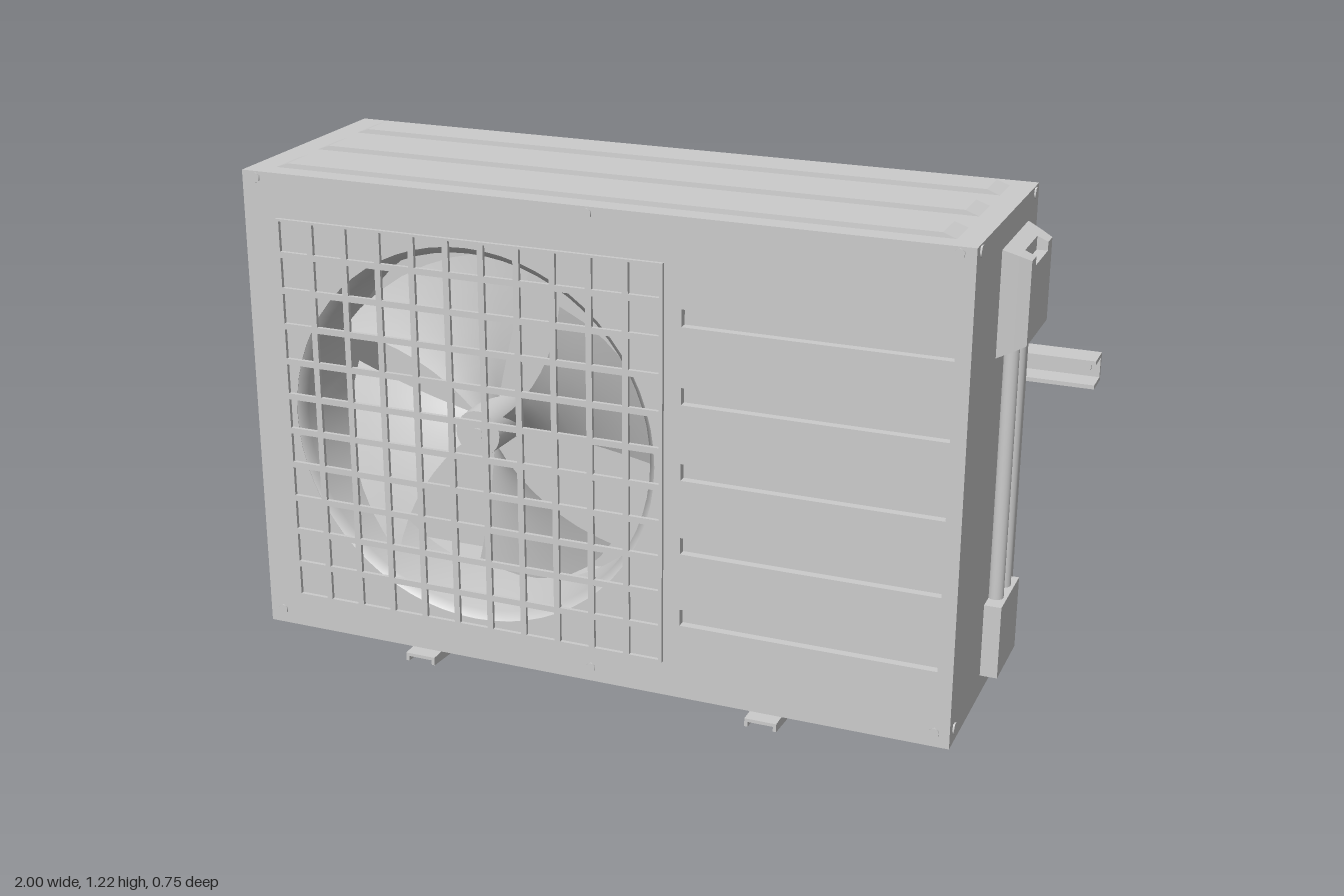
import * as THREE from 'three';

const grey = new THREE.MeshStandardMaterial({ color: 0xcccccc, side: THREE.DoubleSide });

export function createModel() {
  const model = new THREE.Group();
  const X0 = -0.86, X1 = 0.855, Y0 = 0.075, Y1 = 1.215, Z0 = -0.23, Z1 = 0.34;
  const T = 0.02, FX = -0.297, FY = 0.635;

  function add(name, geometry, parent = model) {
    const mesh = new THREE.Mesh(geometry, grey);
    mesh.name = name;
    parent.add(mesh);
    return mesh;
  }
  // Box given by its limits
  function box(name, x0, x1, y0, y1, z0, z1, parent) {
    const g = new THREE.BoxGeometry(x1 - x0, y1 - y0, z1 - z0);
    g.translate((x0 + x1) / 2, (y0 + y1) / 2, (z0 + z1) / 2);
    return add(name, g, parent);
  }
  function rect(x0, x1, y0, y1, Type = THREE.Path) {
    const p = new Type();
    p.moveTo(x0, y0).lineTo(x1, y0).lineTo(x1, y1).lineTo(x0, y1).closePath();
    return p;
  }
  function plate(outline, holes, depth) {
    outline.holes.push(...holes);
    return new THREE.ExtrudeGeometry(outline, { depth, bevelEnabled: false, curveSegments: 32 });
  }
  // Flat-sided solid through rings of [x, y] points at given depths, capped on the last ring
  function loft(rings) {
    const pos = [];
    const tri = (...p) => p.forEach(v => pos.push(...v));
    const pts = rings.map(r => r.points.map(([x, y]) => [x, y, r.depth]));
    for (let k = 0; k + 1 < pts.length; k++) {
      const a = pts[k], b = pts[k + 1];
      a.forEach((p, i) => {
        const j = (i + 1) % a.length;
        tri(p, a[j], b[j]);
        tri(p, b[j], b[i]);
      });
    }
    const last = pts[pts.length - 1];
    const contour = last.map(p => new THREE.Vector2(p[0], p[1]));
    THREE.ShapeUtils.triangulateShape(contour, []).forEach(f => tri(...f.map(i => last[i])));
    const g = new THREE.BufferGeometry();
    g.setAttribute('position', new THREE.Float32BufferAttribute(pos, 3));
    g.computeVertexNormals();
    return g;
  }
  // Hexagonal screw or bolt along an axis
  function screw(name, x, y, z, axis, r = 0.014, len = 0.008) {
    const g = new THREE.CylinderGeometry(r, r, len, 6);
    if (axis === 'x') g.rotateZ(Math.PI / 2);
    else g.rotateX(Math.PI / 2);
    add(name, g).position.set(x, y, z);
  }

  // Casing walls
  box('backWall', X0, X1, Y0, Y1, Z0, Z0 + T);
  box('rightWall', X1 - T, X1, Y0, Y1, Z0 + T, Z1 - T);
  box('topWall', X0 + T, X1 - T, Y1 - T, Y1, Z0 + T, Z1 - T);
  box('bottomWall', X0 + T, X1 - T, Y0, Y0 + T, Z0 + T, Z1 - T);

  // Front wall with a round fan opening and five slots
  const opening = new THREE.Path().absarc(FX, FY, 0.455, 0, Math.PI * 2, true);
  const slots = [0.278, 0.455, 0.633, 0.811, 0.99].map(y => rect(0.22, 0.82, y - 0.02, y + 0.02));
  add('frontWall', plate(rect(X0, X1, Y0, Y1, THREE.Shape), [opening, ...slots], T)).position.z = Z1 - T;
  box('slotBacking', 0.2, 0.83, 0.23, 1.04, Z1 - T - 0.01, Z1 - T);

  // Vented side wall
  const vents = [rect(0.13, 0.26, 1.035, 1.165)];
  for (let i = 0; i < 6; i++) {
    const y = 0.185 + i * 0.152;
    vents.push(rect(-0.21, 0.04, y - 0.052, y + 0.052), rect(0.07, 0.32, y - 0.052, y + 0.052));
  }
  const side = add('ventedWall', plate(rect(Z0 + T, Z1 - T, Y0, Y1, THREE.Shape), vents, T));
  side.rotation.y = -Math.PI / 2;
  side.position.x = X0 + T;
  box('ventBacking', X0 + T, X0 + T + 0.01, Y0 + T, Y1 - T, Z0 + T, Z1 - T);
  box('sideHandle', X0 - 0.032, X0, 1.04, 1.16, -0.215, 0.03);

  // Raised ribs on the top
  for (const z of [-0.133, 0.055, 0.242]) {
    const ring = (x0, x1, w, depth) => ({ depth, points: [[x0, -z - w], [x1, -z - w], [x1, -z + w], [x0, -z + w]] });
    const g = loft([ring(-0.8, 0.8, 0.047, Y1), ring(-0.77, 0.77, 0.046, Y1 + 0.011)]);
    add('topRib', g.rotateX(-Math.PI / 2));
  }

  // Fan shroud
  const profile = [[0.456, 0.34], [0.437, 0.32], [0.437, 0.13]].map(p => new THREE.Vector2(...p));
  add('fanShroud', new THREE.LatheGeometry(profile, 64).rotateX(Math.PI / 2)).position.set(FX, FY, 0);

  // Fan with four pitched blades
  const fan = new THREE.Group();
  fan.name = 'fan';
  fan.position.set(FX, FY, 0.23);
  model.add(fan);
  add('fanHub', new THREE.CylinderGeometry(0.055, 0.06, 0.14, 32).rotateX(Math.PI / 2), fan);
  add('fanHubCap', new THREE.CylinderGeometry(0.014, 0.014, 0.15, 16).rotateX(Math.PI / 2), fan);
  for (let b = 0; b < 4; b++) {
    const g = new THREE.PlaneGeometry(1, 1, 8, 8), p = g.attributes.position;
    for (let i = 0; i < p.count; i++) {
      const u = p.getX(i) + 0.5, v = p.getY(i);
      const r = 0.05 + 0.35 * u;
      const a = v * (0.75 + 0.45 * u) + 0.15 * u;
      p.setXYZ(i, r * Math.cos(a), r * Math.sin(a), v * (0.06 + 0.1 * u));
    }
    g.computeVertexNormals();
    add('fanBlade', g, fan).rotation.z = 0.25 + b * Math.PI / 2;
  }

  // Square-mesh grille over the fan
  const cells = [], GX = -0.775, GY = 0.16, step = 0.0866;
  for (let i = 0; i < 11; i++) for (let j = 0; j < 11; j++) {
    const x = GX + 0.001 + (i + 0.5) * step, y = GY - 0.001 + (j + 0.5) * step;
    cells.push(rect(x - 0.036, x + 0.036, y - 0.036, y + 0.036));
  }
  add('fanGrille', plate(rect(GX, 0.18, GY, 1.11, THREE.Shape), cells, 0.009)).position.z = Z1;

  // Bevelled connection cover with a grip notch at its top edge
  const coverRing = (u0, u1, y0, y1, notch, depth) => ({
    depth,
    points: [[u0, y0], [u1, y0], [u1, y1], [0.075, y1], [0.075, notch], [-0.045, notch], [-0.045, y1], [u0, y1]],
  });
  const cover = loft([
    coverRing(-0.11, 0.14, 0.908, 1.15, 1.15, X1),
    coverRing(-0.096, 0.127, 0.923, 1.136, 1.136, 0.89),
    coverRing(-0.096, 0.127, 0.923, 1.136, 1.105, 0.89),
    coverRing(-0.085, 0.116, 0.935, 1.125, 1.105, 0.915),
  ]);
  add('connectionCover', cover.rotateY(Math.PI / 2));

  // Refrigerant pipes and valve box
  for (const z of [0.018, -0.053]) {
    add('pipe', new THREE.CylinderGeometry(0.018, 0.018, 0.64, 20)).position.set(0.869, 0.61, z);
  }
  box('valveBox', X1, 0.895, 0.127, 0.305, -0.105, 0.072);

  // Casing screws
  for (const y of [0.11, 1.2]) {
    for (const z of [-0.195, 0.305]) {
      screw('sideScrew', X1, y, z, 'x');
      screw('sideScrew', X0, y, z, 'x');
    }
    for (const x of [-0.825, 0, 0.82]) screw('frontScrew', x, y, Z1, 'z', 0.012);
  }

  // Wall rail: channel open to the front
  box('railWeb', -1, 1, 0.718, 0.787, -0.375, -0.365);
  box('railTopFlange', -1, 1, 0.777, 0.787, -0.365, -0.303);
  box('railBottomFlange', -1, 1, 0.718, 0.728, -0.365, -0.303);
  for (const x of [-0.97, 0.97]) screw('railBolt', x, 0.753, -0.36, 'z', 0.012, 0.012);

  // Support brackets: tapered arm and upright, both folded channels
  for (const x of [-0.43, 0.43]) {
    const bracket = new THREE.Group();
    bracket.name = 'supportBracket';
    bracket.position.x = x;
    model.add(bracket);
    box('uprightWeb', -0.038, 0.038, 0.003, 0.777, -0.337, -0.329, bracket);
    box('armTop', -0.038, 0.038, 0.067, 0.075, -0.303, 0.376, bracket);
    for (const s of [-1, 1]) {
      const xs = [s * 0.038, s * 0.03].sort((a, b) => a - b);
      box('uprightSide', xs[0], xs[1], 0.07, 0.777, -0.329, -0.302, bracket);
      const arm = new THREE.Shape();
      arm.moveTo(-0.329, 0.003).lineTo(-0.25, 0.003).lineTo(0.376, 0.055).lineTo(0.376, 0.072).lineTo(-0.329, 0.072);
      const plateSide = add('armSide', plate(arm, [], 0.008), bracket);
      plateSide.rotation.y = -Math.PI / 2;
      plateSide.position.x = xs[1];
      screw('bracketBolt', x + s * 0.04, 0.04, -0.265, 'x', 0.016, 0.01);
    }
  }
  return model;
}
